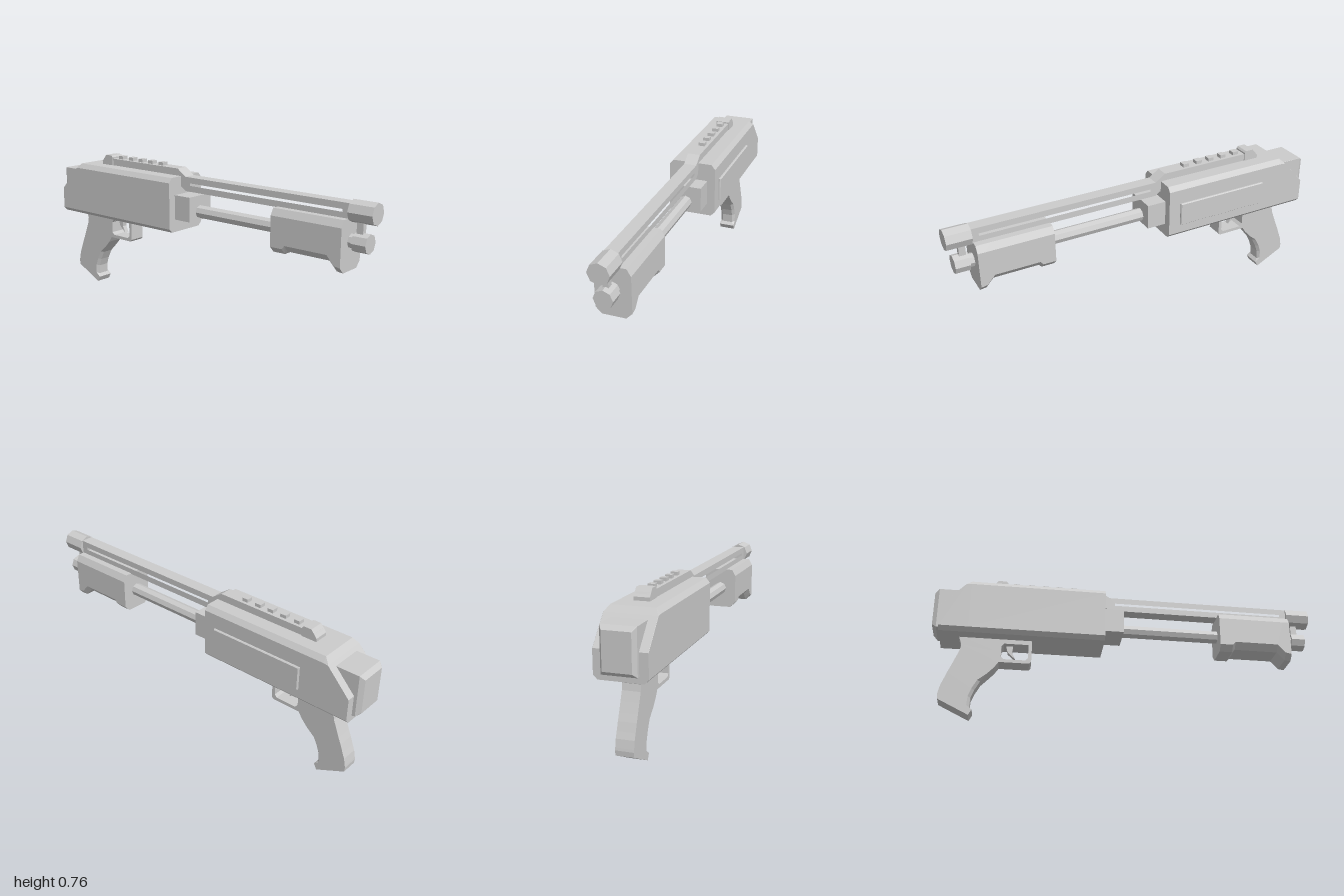
import * as THREE from 'three';

const CX = -0.006; // centre plane of the main parts
const mat = new THREE.MeshStandardMaterial({ color: 0xcccccc, flatShading: true });

function add(group, name, geo, x = 0, y = 0, z = 0) {
  const mesh = new THREE.Mesh(geo, mat);
  mesh.name = name;
  mesh.position.set(x, y, z);
  group.add(mesh);
  return mesh;
}

// Skin a row of convex cross-sections and close both ends; winding is fixed by volume.
function loft(sections) {
  const tris = [];
  const n = sections[0].length;
  for (let s = 0; s < sections.length - 1; s++) {
    const a = sections[s], b = sections[s + 1];
    for (let i = 0; i < n; i++) {
      const j = (i + 1) % n;
      tris.push([a[i], a[j], b[j]], [a[i], b[j], b[i]]);
    }
  }
  const first = sections[0], last = sections[sections.length - 1];
  for (let i = 1; i < n - 1; i++) {
    tris.push([first[0], first[i + 1], first[i]], [last[0], last[i], last[i + 1]]);
  }
  let volume = 0;
  for (const [a, b, c] of tris) volume += a.dot(b.clone().cross(c));
  const pts = tris.flatMap(([a, b, c]) => (volume < 0 ? [a, c, b] : [a, b, c]));
  const geo = new THREE.BufferGeometry().setFromPoints(pts);
  geo.computeVertexNormals();
  return geo;
}

// Eight-sided section at z: half-widths and heights from the bottom edge to the top edge.
function octSection(z, wBottom, yBottom, yLow, w, yHigh, wTop, yTop) {
  const half = [[wBottom, yBottom], [w, yLow], [w, yHigh], [wTop, yTop]];
  const right = half.map(([x, y]) => new THREE.Vector3(x, y, z));
  const left = half.map(([x, y]) => new THREE.Vector3(-x, y, z)).reverse();
  return [...right, ...left];
}

// Side profile of [z, y] points, extruded across x and centred.
function sidePlate(points, width, hole) {
  const toV = ([z, y]) => new THREE.Vector2(-z, y);
  const shape = new THREE.Shape(points.map(toV));
  if (hole) shape.holes.push(new THREE.Path(hole.map(toV)));
  const geo = new THREE.ExtrudeGeometry(shape, { depth: width, bevelEnabled: false });
  return geo.translate(0, 0, -width / 2).rotateY(Math.PI / 2);
}

// Octagonal rod along z, with corners at top and sides.
function rod(radius, z0, z1) {
  return new THREE.CylinderGeometry(radius, radius, z1 - z0, 8)
    .rotateX(Math.PI / 2).translate(0, 0, (z0 + z1) / 2);
}

function box(w, y0, y1, z0, z1) {
  return new THREE.BoxGeometry(w, y1 - y0, z1 - z0).translate(0, (y0 + y1) / 2, (z0 + z1) / 2);
}

export function createModel() {
  const model = new THREE.Group();
  model.name = 'pumpShotgun';

  // Receiver with chamfered edges and a sloped rear
  add(model, 'receiver', loft([
    octSection(-0.126, 0.105, 0.418, 0.438, 0.125, 0.683, 0.105, 0.708),
    octSection(-0.815, 0.105, 0.418, 0.438, 0.125, 0.683, 0.105, 0.708),
    octSection(-0.842, 0.105, 0.418, 0.438, 0.125, 0.680, 0.124, 0.681),
    octSection(-0.962, 0.105, 0.418, 0.438, 0.125, 0.552, 0.124, 0.553),
  ]), CX);
  add(model, 'receiverCollar', box(0.166, 0.485, 0.615, -0.2, -0.025), CX);

  // Raised plate on the left side only
  const plate = (x, inset) => [[-0.19, 0.485], [-0.19, 0.607], [-0.697, 0.607], [-0.697, 0.485]].map(
    ([z, y]) => new THREE.Vector3(x, y + (y > 0.55 ? -inset : inset), z + (z > -0.4 ? -inset : inset)));
  add(model, 'sidePlate', loft([plate(0.11, 0), plate(0.125, 0), plate(0.13, 0.004)]));

  // Butt pad at the rear
  add(model, 'buttPad', loft([
    octSection(-0.82, 0.082, 0.447, 0.448, 0.083, 0.664, 0.082, 0.665),
    octSection(-0.978, 0.082, 0.447, 0.448, 0.083, 0.664, 0.082, 0.665),
    octSection(-1.0, 0.066, 0.467, 0.468, 0.067, 0.644, 0.066, 0.645),
  ]), CX);

  // Slotted barrel rib running back into the top rail
  add(model, 'barrelRib', sidePlate([
    [0.89, 0.633], [0.89, 0.708], [-0.095, 0.708], [-0.15, 0.745], [-0.7, 0.745], [-0.715, 0.725],
    [-0.715, 0.69], [-0.135, 0.69], [-0.135, 0.66], [-0.095, 0.633],
  ], 0.066, [[0.84, 0.664], [0.84, 0.677], [-0.065, 0.677], [-0.065, 0.664]]), CX);
  add(model, 'rearSight', sidePlate([
    [-0.635, 0.7], [-0.635, 0.753], [-0.643, 0.762], [-0.685, 0.762], [-0.716, 0.725], [-0.716, 0.7],
  ], 0.076), CX);
  for (const z of [-0.285, -0.363, -0.436, -0.511, -0.589]) {
    add(model, 'railTooth', box(0.034, 0.735, 0.762, z - 0.016, z + 0.016), CX);
  }

  // Muzzle, magazine tube with its cap, and the strut joining them
  add(model, 'muzzle', rod(0.053, 0.875, 1.0), CX, 0.67);
  add(model, 'magazineTube', rod(0.034, -0.06, 0.92), CX, 0.529);
  add(model, 'magazineCap', rod(0.047, 0.897, 0.97), CX, 0.529);
  add(model, 'muzzleStrut', box(0.026, 0.56, 0.64, 0.905, 0.938), CX);

  // Pump grip, with a lip at the front and a shallow step at the back
  const pump = [[0.872, 0.388, 0.418], [0.84, 0.392, 0.424], [0.8, 0.435, 0.468],
    [0.57, 0.435, 0.468], [0.555, 0.42, 0.45], [0.488, 0.42, 0.45]];
  add(model, 'pumpGrip', loft(pump.map(
    ([z, yb, yl]) => octSection(z, 0.058, yb, yl, 0.0875, 0.603, 0.068, 0.637))), CX);

  // Trigger guard and trigger
  add(model, 'triggerGuard', sidePlate([
    [-0.493, 0.43], [-0.493, 0.302], [-0.503, 0.291], [-0.656, 0.291], [-0.69, 0.3], [-0.69, 0.43],
  ], 0.087, [
    [-0.51, 0.395], [-0.635, 0.395], [-0.647, 0.38], [-0.647, 0.322], [-0.633, 0.308],
    [-0.522, 0.308], [-0.51, 0.322],
  ]), CX);
  add(model, 'trigger', sidePlate([
    [-0.588, 0.4], [-0.625, 0.4], [-0.614, 0.36], [-0.575, 0.325], [-0.592, 0.36],
  ], 0.026), CX);

  // Pistol grip: front z, y, back z, y, front chamfer
  const grip = [
    [-0.656, 0.43, -0.865, 0.43, 0], [-0.656, 0.345, -0.847, 0.375, 0],
    [-0.656, 0.291, -0.853, 0.343, 0], [-0.676, 0.26, -0.87, 0.3, 0],
    [-0.71, 0.222, -0.888, 0.255, 0.001], [-0.74, 0.184, -0.903, 0.22, 0.014],
    [-0.765, 0.136, -0.918, 0.18, 0.014], [-0.78, 0.094, -0.93, 0.15, 0.014],
    [-0.783, 0.045, -0.938, 0.112, 0.014], [-0.768, 0.029, -0.94, 0.1, 0.001],
    [-0.784, 0, -0.938, 0.076, 0],
  ];
  add(model, 'pistolGrip', loft(grip.map(([fz, fy, bz, by, c]) => {
    const w = 0.0435;
    const front = new THREE.Vector3(0, fy, fz), back = new THREE.Vector3(0, by, bz);
    const side = front.clone().lerp(back, c / front.distanceTo(back));
    const at = (p, x) => p.clone().setX(x);
    return [at(front, w - c), at(side, w), at(back, w), at(back, -w), at(side, -w), at(front, c - w)];
  })), CX);

  return model;
}
